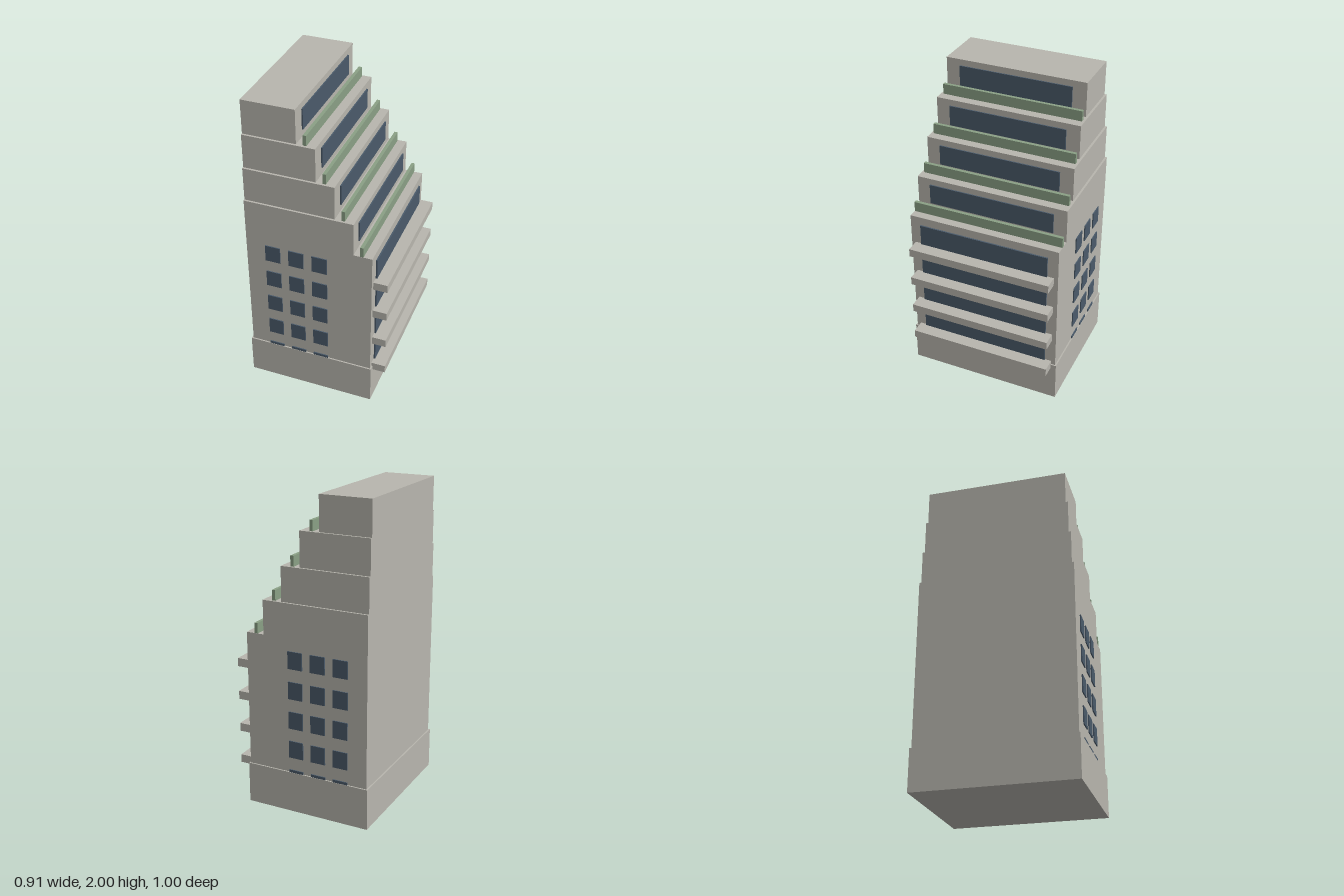
import * as THREE from 'three';

const concrete = new THREE.MeshStandardMaterial({ name: 'concrete', color: 0xb8b6ae });
const glass = new THREE.MeshStandardMaterial({ name: 'blueGlass', color: 0x4a5a6a });
const green = new THREE.MeshStandardMaterial({ name: 'greenParapet', color: 0x8aa085 });

// Box given by its limits on each axis
function box(parent, name, material, [x0, x1], [y0, y1], [z0, z1]) {
  const mesh = new THREE.Mesh(new THREE.BoxGeometry(x1 - x0, y1 - y0, z1 - z0), material);
  mesh.position.set((x0 + x1) / 2, (y0 + y1) / 2, (z0 + z1) / 2);
  mesh.name = name;
  parent.add(mesh);
}

export function createModel() {
  const model = new THREE.Group();
  model.name = 'terracedTower';
  const back = -0.445;
  const floor = 0.2165;

  // Plinth and main block
  box(model, 'plinth', concrete, [-0.455, 0.37], [0, 0.265], [-0.5, 0.5]);
  box(model, 'mainBlock', concrete, [back, 0.362], [0.265, 1.134], [-0.491, 0.491]);

  // Stepped upper floors, each with a window band and a parapet on the terrace before it
  const steps = [[0.245, 0.491], [0.125, 0.478], [0.006, 0.464], [-0.114, 0.45]];
  steps.forEach(([front, half], i) => {
    const y = 1.134 + i * floor;
    const tier = new THREE.Group();
    tier.name = 'terraceFloor';
    box(tier, 'floorBlock', concrete, [back, front], [y, y + floor], [-half, half]);
    const w = 0.407 - i * 0.015;
    box(tier, 'windowBand', glass, [front, front + 0.008], [y + 0.047, y + 0.177], [-w, w]);
    const p = half - 0.001;
    box(tier, 'parapet', green, [front + 0.041, front + 0.062], [y, y + 0.065], [-p, p]);
    model.add(tier);
  });

  // Balconies with window bands on the main block
  for (let i = 0; i < 4; i++) {
    const y = 0.237 + i * 0.2175;
    box(model, 'balcony', concrete, [0.36, 0.451], [y, y + 0.053], [-0.464, 0.464]);
    box(model, 'windowBand', glass, [0.362, 0.3715], [y + 0.053, y + 0.19], [-0.422, 0.422]);
  }

  // Square windows on both flanks; the lowest row is cut off by the plinth
  for (const side of [-1, 1]) {
    for (let row = 0; row < 5; row++) {
      const top = 0.282 + row * 0.1935;
      for (let col = 0; col < 3; col++) {
        const x = -0.32 + col * 0.151;
        const z = side > 0 ? [0.491, 0.498] : [-0.498, -0.491];
        box(model, 'sideWindow', glass, [x, x + 0.097], [Math.max(0.265, top - 0.111), top], z);
      }
    }
  }
  return model;
}
